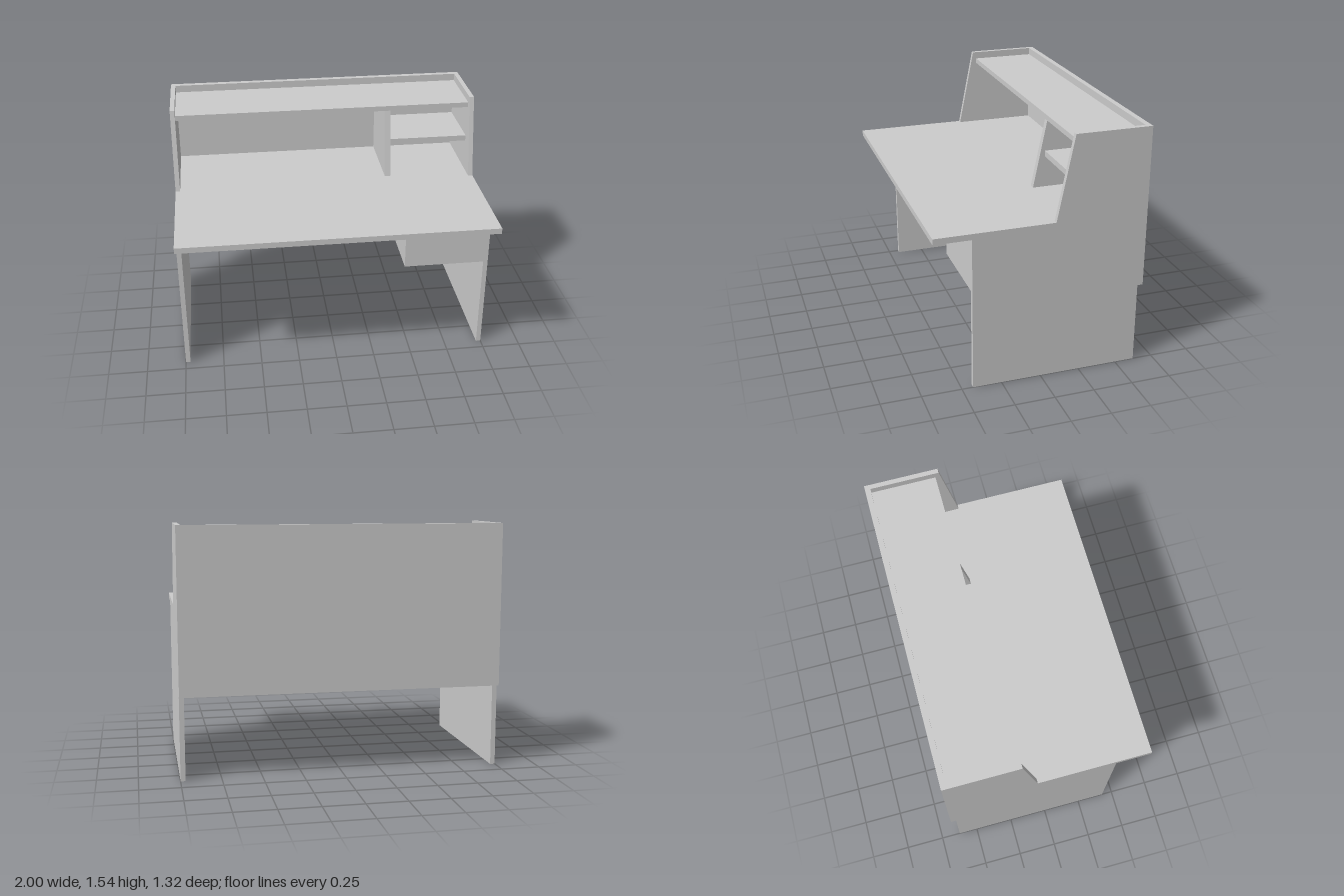
import * as THREE from 'three';

const material = new THREE.MeshStandardMaterial({ color: 0xcccccc, flatShading: true });

// Board given by its lower and upper corners
function board(name, [x0, y0, z0], [x1, y1, z1]) {
  const mesh = new THREE.Mesh(new THREE.BoxGeometry(x1 - x0, y1 - y0, z1 - z0), material);
  mesh.position.set((x0 + x1) / 2, (y0 + y1) / 2, (z0 + z1) / 2);
  mesh.name = name;
  return mesh;
}

// Upright board: a [z, y] outline given thickness from x0 to x1
function upright(name, outline, x0, x1) {
  const shape = new THREE.Shape(outline.map(([z, y]) => new THREE.Vector2(-z, y)));
  const geometry = new THREE.ExtrudeGeometry(shape, { depth: x1 - x0, bevelEnabled: false });
  geometry.rotateY(Math.PI / 2).translate(x0, 0, 0);
  const mesh = new THREE.Mesh(geometry, material);
  mesh.name = name;
  return mesh;
}

// Desktop: full width in front, notched between the side panels behind
function desktop() {
  const half = [[1, -0.66], [1, 0.08], [0.97, 0.08], [0.97, 0.625]];
  const mirrored = half.map(([x, z]) => [-x, z]).reverse();
  const shape = new THREE.Shape([...half, ...mirrored].map(([x, z]) => new THREE.Vector2(x, z)));
  const geometry = new THREE.ExtrudeGeometry(shape, { depth: 0.037, bevelEnabled: false });
  geometry.rotateX(-Math.PI / 2).translate(0, 0.975, 0);
  const mesh = new THREE.Mesh(geometry, material);
  mesh.name = 'desktop';
  return mesh;
}

export function createModel() {
  const desk = new THREE.Group();
  desk.name = 'desk';

  // Side panels: legs below, sloped hutch sides above
  const side = [
    [0.43, 0], [0.43, 0.975], [-0.08, 0.975], [-0.08, 1.012],
    [-0.185, 1.54], [-0.625, 1.54], [-0.625, 0],
  ];
  desk.add(upright('leftSidePanel', side, 0.97, 1));
  desk.add(upright('rightSidePanel', side, -1, -0.97));

  desk.add(desktop());
  desk.add(board('backPanel', [-1, 0.52, -0.66], [1, 1.54, -0.625]));

  // Hutch: top shelf, sloped divider and short shelf
  desk.add(board('topShelf', [-0.97, 1.46, -0.625], [0.97, 1.493, -0.208]));
  const divider = [[-0.14, 1.012], [-0.229, 1.46], [-0.625, 1.46], [-0.625, 1.012]];
  desk.add(upright('divider', divider, 0.407, 0.447));
  desk.add(board('shortShelf', [0.447, 1.213, -0.625], [0.97, 1.25, -0.215]));

  // Drawer box under the desktop
  desk.add(board('drawerBox', [0.45, 0.637, -0.16], [0.97, 0.975, 0.43]));

  return desk;
}
